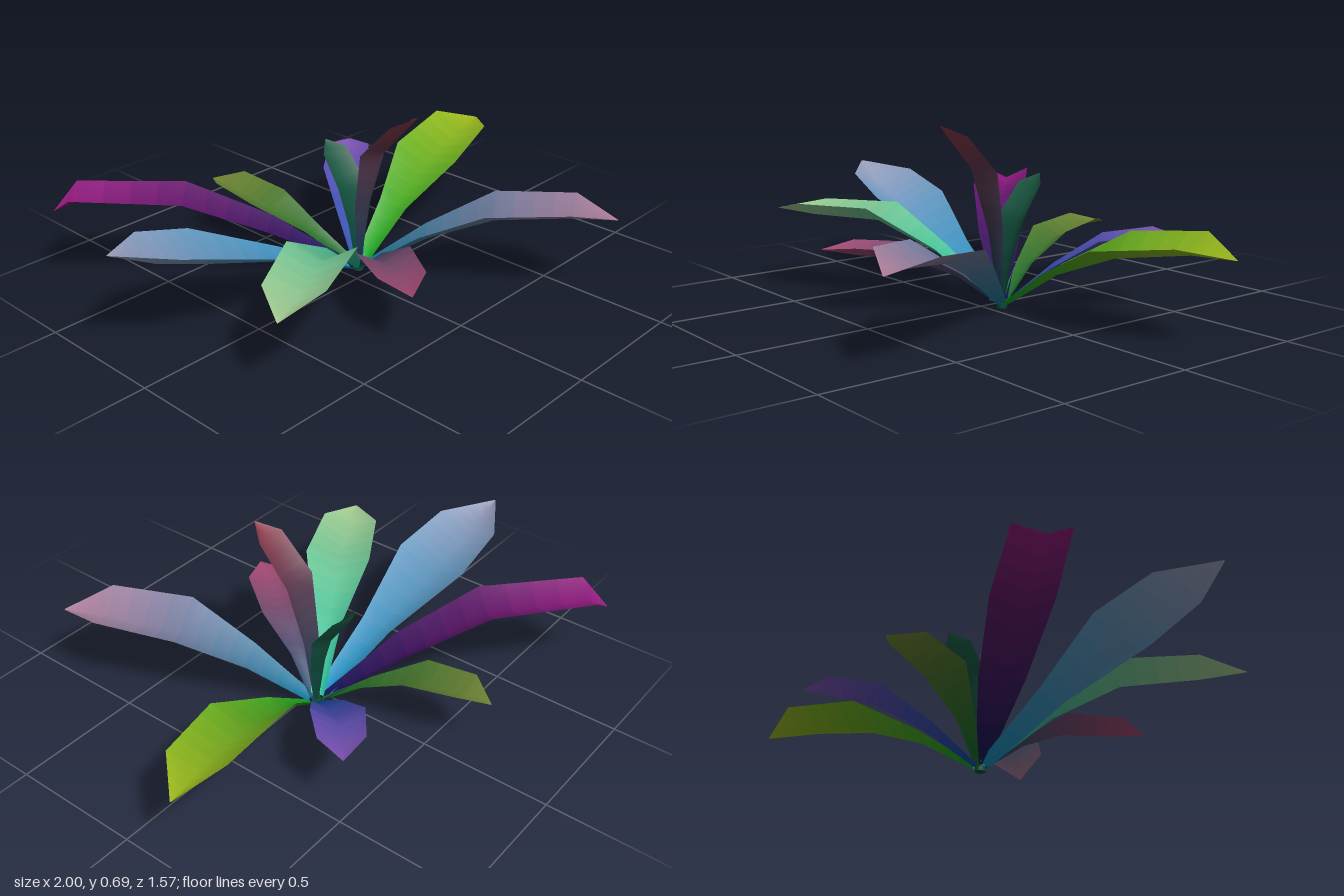
import * as THREE from 'three';

const ROOT = new THREE.Vector3(0.06, 0.012, -0.05); // where all leaves meet
const FOLD = 0.24; // depth of the midrib groove relative to the leaf width
const BANDS = 4; // colour steps between two cross-sections

// A leaf is a gutter-shaped strip along a curve from the root through mid to tip.
// width is the widest span, neck the share of it near the root, roll lifts the
// right edge, last is where the tip begins and arch raises the blade there.
function makeLeaf({ name, from, to, mid, tip, width, neck = 0.45, roll = 0, last = 0.83, arch = 0 }) {
  const middle = new THREE.Vector3(...mid);
  const end = new THREE.Vector3(...tip);
  const spine = new THREE.CatmullRomCurve3([ROOT, middle, end]);
  const out = end.clone().sub(middle).setY(0).normalize();
  const across = new THREE.Vector3(-out.z, roll, out.x);

  // cross-sections: left edge, sunken midrib, right edge
  const stations = [[0.02, 0.2, 0], [0.25, neck, 0], [0.5, 1, 0], [last, 0.86, arch], [1, 0.02, 0]];
  const sections = stations.map(([t, share, lift]) => {
    const centre = spine.getPoint(t);
    centre.y += lift;
    const down = spine.getTangent(t).cross(across).normalize();
    const span = width * share;
    return [
      centre.clone().addScaledVector(across, -span / 2),
      centre.clone().addScaledVector(down, span * FOLD),
      centre.clone().addScaledVector(across, span / 2),
    ];
  });

  // subdivide lengthwise so that the colour can fade from root to tip
  const points = [];
  const index = [];
  const materials = [];
  const steps = (sections.length - 1) * BANDS;
  const geometry = new THREE.BufferGeometry();
  for (let s = 0; s <= steps; s++) {
    const i = Math.min(Math.floor(s / BANDS), sections.length - 2);
    const t = s / BANDS - i;
    sections[i].forEach((p, k) => points.push(p.clone().lerp(sections[i + 1][k], t)));
    if (s === steps) break;

    geometry.addGroup(index.length, 12, s);
    for (const a of [s * 3, s * 3 + 1]) index.push(a, a + 1, a + 3, a + 1, a + 4, a + 3);
    const fade = THREE.MathUtils.lerp(stations[i][0], stations[i + 1][0], t + 0.5 / BANDS) ** 1.4;
    const color = new THREE.Color(from).lerp(new THREE.Color(to), fade);
    materials.push(new THREE.MeshStandardMaterial({ color, side: THREE.DoubleSide }));
  }
  geometry.setFromPoints(points);
  geometry.setIndex(index);
  geometry.computeVertexNormals();
  const leaf = new THREE.Mesh(geometry, materials);
  leaf.name = name;
  return leaf;
}

const LEAVES = [
  { name: 'leftLeaf', from: '#00a420', to: '#a0b81c', mid: [0.54, 0.315, -0.125], tip: [1, 0.31, -0.23],
    width: 0.26, roll: -0.12, arch: 0.035 },
  { name: 'rightLeaf', from: '#0890c0', to: '#9a9cb8', mid: [-0.595, 0.335, -0.105], tip: [-1, 0.43, -0.14],
    width: 0.31, last: 0.77, arch: 0.01 },
  { name: 'backRightLeaf', from: '#081058', to: '#981a80', mid: [-0.44, 0.36, -0.45], tip: [-0.78, 0.3, -0.78],
    width: 0.215, neck: 0.75, last: 0.92, arch: 0.065 },
  { name: 'frontRightLeaf', from: '#08bc94', to: '#a8cc90', mid: [-0.37, 0.35, 0.185], tip: [-0.78, 0.31, 0.4],
    width: 0.25, roll: -0.05, arch: 0.01 },
  { name: 'smallFrontRightLeaf', from: '#084868', to: '#a84870', mid: [-0.095, 0.235, 0.215],
    tip: [-0.28, 0.235, 0.51], width: 0.2, arch: 0.01 },
  { name: 'frontLeftLeaf', from: '#087ca0', to: '#b07c98', mid: [0.3, 0.33, 0.38], tip: [0.52, 0.32, 0.78],
    width: 0.27, roll: 0.05, neck: 0.55, arch: 0.03 },
  { name: 'backLeftLeaf', from: '#0848a8', to: '#8454b8', mid: [0.29, 0.265, -0.325], tip: [0.5, 0.28, -0.51],
    width: 0.19, neck: 0.6, arch: 0.015 },
  { name: 'backLeaf', from: '#086c28', to: '#748434', mid: [-0.07, 0.235, -0.4], tip: [-0.09, 0.23, -0.705],
    width: 0.18, arch: 0.025 },
  { name: 'uprightFrontLeaf', from: '#083c54', to: '#903444', mid: [0.055, 0.515, 0.03], tip: [0.06, 0.69, 0.23],
    width: 0.145, neck: 0.6, arch: 0.015 },
  { name: 'uprightBackLeaf', from: '#084838', to: '#1c5c44', mid: [0.067, 0.34, -0.09], tip: [0.067, 0.485, -0.225],
    width: 0.14, neck: 0.6, arch: 0.015 },
];

export function createModel() {
  const plant = new THREE.Group();
  plant.name = 'plant';
  plant.add(...LEAVES.map(makeLeaf));

  // short crown holding the leaf feet together
  const crown = new THREE.Mesh(
    new THREE.CylinderGeometry(0.02, 0.02, 0.02, 8),
    new THREE.MeshStandardMaterial({ color: '#084838' }),
  );
  crown.position.set(ROOT.x, 0.01, ROOT.z);
  crown.name = 'crown';
  plant.add(crown);
  return plant;
}
